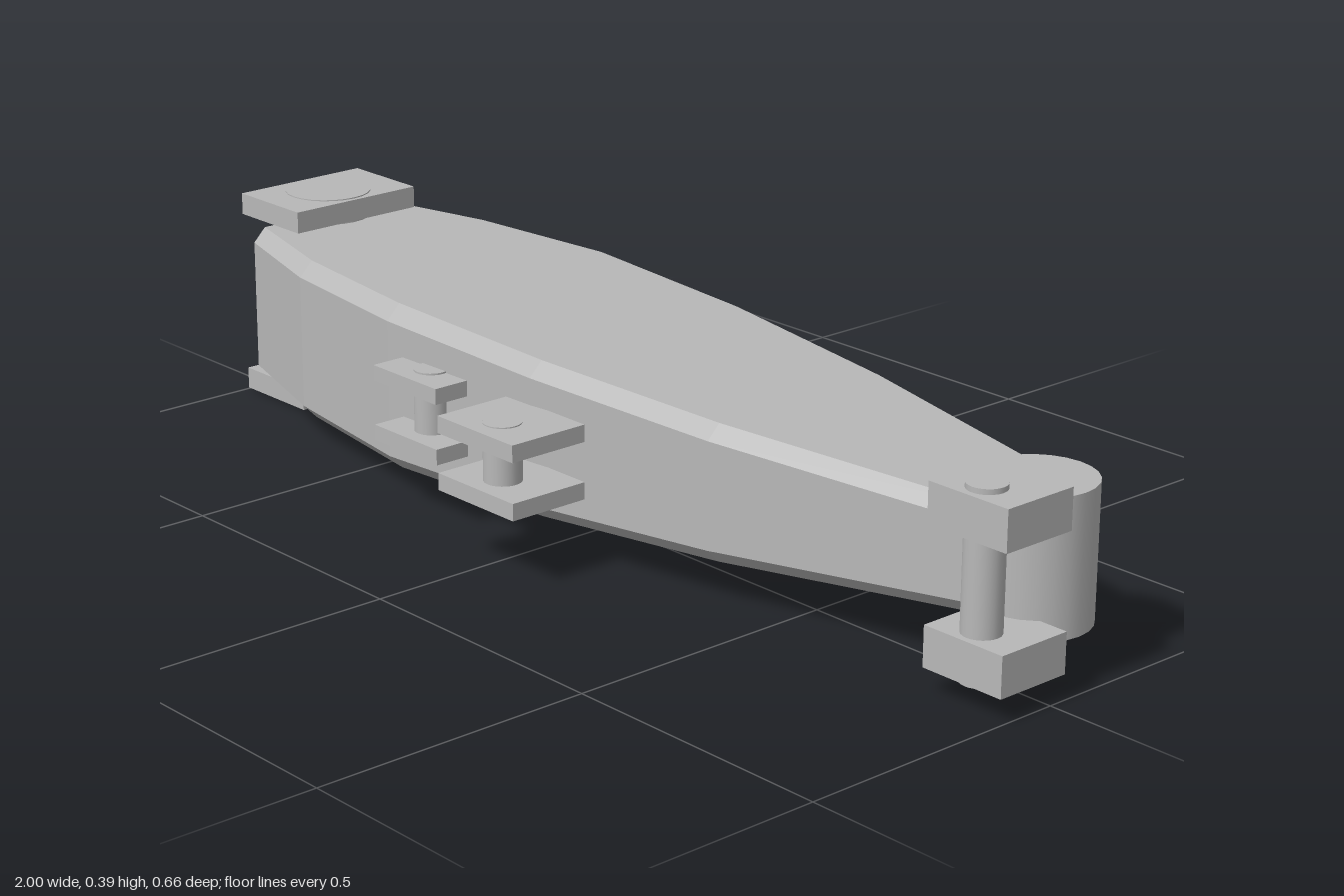
import * as THREE from 'three';

export function createModel() {
  const group = new THREE.Group();
  const grey = new THREE.MeshStandardMaterial({ color: 0xb8b8b8 });
  grey.name = 'plain grey';
  const midY = 0.196;

  function add(name, geometry) {
    const mesh = new THREE.Mesh(geometry, grey);
    mesh.name = name;
    group.add(mesh);
    return mesh;
  }

  // Upright round pin or barrel, centred on the mid height
  function pin(name, x, z, radius, height) {
    add(name, new THREE.CylinderGeometry(radius, radius, height, 24)).position.set(x, midY, z);
  }

  // Two matching plates above and below the mid height
  function lugs(name, x0, x1, z0, z1, inner, outer) {
    for (const side of [1, -1]) {
      add(name + (side > 0 ? 'Upper' : 'Lower'), new THREE.BoxGeometry(x1 - x0, outer - inner, z1 - z0))
        .position.set((x0 + x1) / 2, midY + side * (inner + outer) / 2, (z0 + z1) / 2);
    }
  }

  // Tapered body: chamfered sections [x, back z, front z, half height, chamfer]
  const sections = [
    [-0.92, -0.255, 0.075, 0.145, 0.025],
    [-0.68, -0.303, 0.147, 0.149, 0.027],
    [-0.37, -0.328, 0.19, 0.151, 0.027],
    [0, -0.315, 0.18, 0.138, 0.026],
    [0.38, -0.277, 0.132, 0.118, 0.025],
    [0.885, -0.193, 0.018, 0.087, 0.023],
  ];
  const rings = sections.map(([x, b, f, h, c]) => [
    [f, h - c], [f - c, h], [b + c, h], [b, h - c],
    [b, c - h], [b + c, -h], [f - c, -h], [f, c - h],
  ].map(([z, y]) => [x, midY + y, z]));
  const points = [];
  const tri = (a, b, c) => points.push(...a, ...b, ...c);
  for (let i = 0; i < rings.length - 1; i++) {
    const p = rings[i], q = rings[i + 1];
    for (let j = 0; j < 8; j++) {
      const k = (j + 1) % 8;
      tri(p[j], q[j], q[k]);
      tri(p[j], q[k], p[k]);
    }
  }
  const first = rings[0], last = rings[rings.length - 1];
  for (let j = 1; j < 7; j++) {
    tri(first[0], first[j], first[j + 1]);
    tri(last[0], last[j + 1], last[j]);
  }
  const body = new THREE.BufferGeometry();
  body.setAttribute('position', new THREE.Float32BufferAttribute(points, 3));
  body.computeVertexNormals();
  add('armBody', body);

  // Wide hinge
  lugs('hingeLug', -1, -0.825, -0.228, 0.043, 0.152, 0.192);
  pin('hingePin', -0.913, -0.093, 0.08, 0.388);
  pin('hingeBarrel', -0.913, -0.093, 0.085, 0.276);

  // Narrow end barrel and its clevis
  pin('endBarrel', 0.873, -0.094, 0.097, 0.234);
  lugs('clevisLug', 0.84, 1, -0.03, 0.112, 0.081, 0.151);
  pin('clevisPin', 0.917, 0.068, 0.033, 0.32);

  // Two small brackets on the front
  lugs('smallBracketLug', -0.33, -0.16, 0.14, 0.252, 0.04, 0.068);
  pin('smallBracketPin', -0.245, 0.193, 0.031, 0.142);
  lugs('largeBracketLug', -0.06, 0.132, 0.175, 0.328, 0.035, 0.065);
  pin('largeBracketPin', 0.035, 0.268, 0.033, 0.134);

  return group;
}
